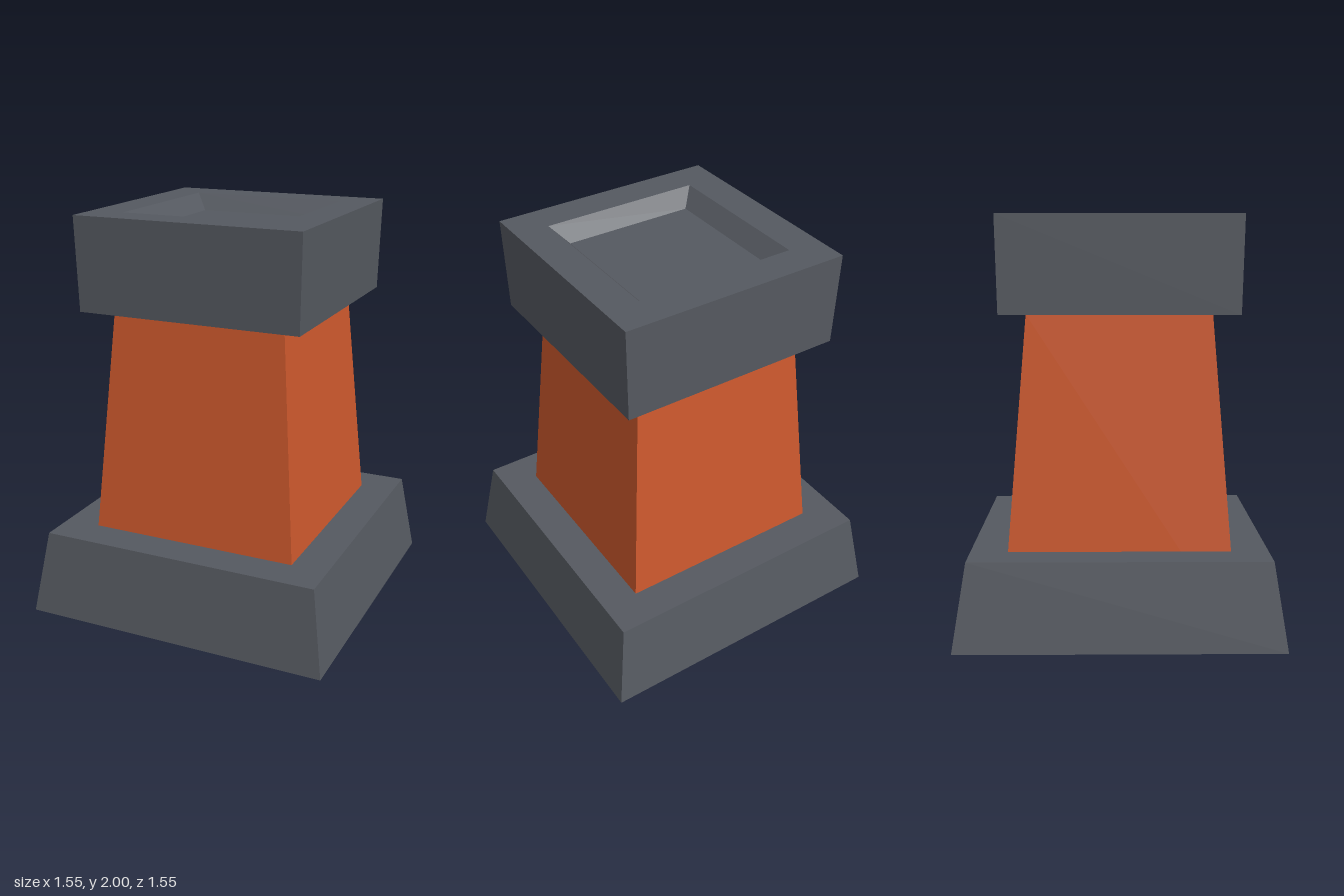
import * as THREE from 'three';

// Square solid: a four-sided lathe of [half width, height] points with flat faces.
function squareLathe(name, profile, material) {
  const points = profile.map(([half, y]) => new THREE.Vector2(half * Math.SQRT2, y));
  const geometry = new THREE.LatheGeometry(points, 4, Math.PI / 4).toNonIndexed();
  geometry.computeVertexNormals();
  const mesh = new THREE.Mesh(geometry, material);
  mesh.name = name;
  return mesh;
}

export function createModel() {
  const stone = new THREE.MeshStandardMaterial({ color: 0x555960, side: THREE.DoubleSide });
  stone.name = 'grey stone';
  const clay = new THREE.MeshStandardMaterial({ color: 0xcc582d, side: THREE.DoubleSide });
  clay.name = 'orange clay';

  const group = new THREE.Group();
  group.name = 'chimney';
  group.add(
    // Flared plinth, open underneath and closed on top
    squareLathe('base', [[0.775, 0], [0.71, 0.417], [0, 0.417]], stone),
    // Tapering shaft, an open shell running from the ground into the cap
    squareLathe('shaft', [[0.564, 0], [0.44, 1.54]], clay),
    // Heavy cap with a shallow recess in its top
    squareLathe('cap', [
      [0, 1.54], [0.56, 1.54], [0.57, 2], [0.4, 2], [0.328, 1.92], [0, 1.92],
    ], stone),
  );
  return group;
}
